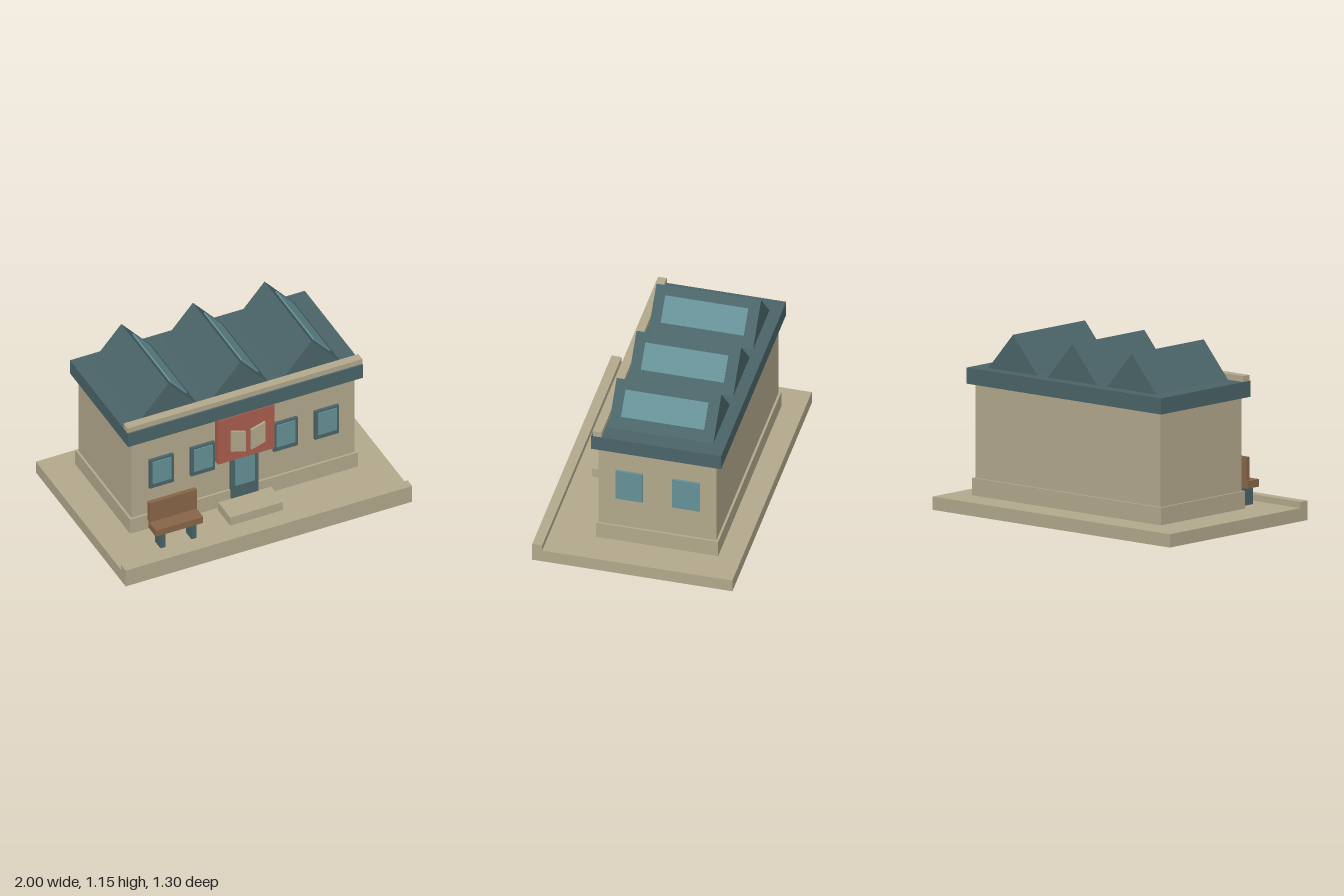
import * as THREE from 'three';

const paint = (name, color) => {
  const m = new THREE.MeshStandardMaterial({ color });
  m.name = name;
  return m;
};

export function createModel() {
  const stone = paint('sandstone', 0xb3a88c);
  const slate = paint('dark teal', 0x4a6468);
  const glass = paint('glass teal', 0x659096);
  const red = paint('sign red', 0xa85d4c);
  const wood = paint('bench brown', 0x876547);

  const model = new THREE.Group();
  model.name = 'building';

  const add = (parent, name, geometry, material) => {
    const mesh = new THREE.Mesh(geometry, material);
    mesh.name = name;
    parent.add(mesh);
    return mesh;
  };
  // Box given by its limits on each axis
  const box = (parent, name, material, [x0, x1], [y0, y1], [z0, z1]) => {
    const mesh = add(parent, name, new THREE.BoxGeometry(x1 - x0, y1 - y0, z1 - z0), material);
    mesh.position.set((x0 + x1) / 2, (y0 + y1) / 2, (z0 + z1) / 2);
    return mesh;
  };
  // Outline extruded along z from z0 to z1
  const prism = (parent, name, material, points, z0, z1) => {
    const shape = new THREE.Shape(points.map(([x, y]) => new THREE.Vector2(x, y)));
    const geometry = new THREE.ExtrudeGeometry(shape, { depth: z1 - z0, bevelEnabled: false });
    const mesh = add(parent, name, geometry, material);
    mesh.position.z = z0;
    return mesh;
  };
  const group = (name) => {
    const g = new THREE.Group();
    g.name = name;
    model.add(g);
    return g;
  };

  // Ground slab with a kerb along the front
  box(model, 'groundSlab', stone, [-1, 1], [0, 0.085], [-0.65, 0.65]);
  box(model, 'kerb', stone, [-1, 1], [0.085, 0.125], [0.585, 0.65]);

  // Building body
  box(model, 'plinth', stone, [-0.795, 0.795], [0.098, 0.21], [-0.505, 0.29]);
  box(model, 'walls', stone, [-0.78, 0.78], [0.21, 0.812], [-0.49, 0.275]);
  box(model, 'roofSlab', slate, [-0.82, 0.82], [0.812, 0.915], [-0.53, 0.313]);
  box(model, 'frontParapet', stone, [-0.82, 0.82], [0.915, 0.953], [0.245, 0.302]);

  // Roof ridges, each with a skylight on its +x slope
  const half = 0.208, rise = 0.237;
  for (const x of [-0.5, 0, 0.5]) {
    const ridge = group('roofRidge');
    ridge.position.set(x, 0.915, 0);
    prism(ridge, 'ridge', slate, [[-half, 0], [half, 0], [0, rise]], -0.45, 0.23);
    const skylight = add(ridge, 'skylight', new THREE.BoxGeometry(0.175, 0.02, 0.54), glass);
    skylight.position.set(0.1, rise * (1 - 0.1 / half), -0.11);
    skylight.rotation.z = -Math.atan2(rise, half);
  }

  // Framed front windows
  for (const x of [-0.577, -0.289, 0.289, 0.577]) {
    const win = group('frontWindow');
    box(win, 'windowFrame', slate, [x - 0.084, x + 0.084], [0.415, 0.635], [0.27, 0.296]);
    box(win, 'windowGlass', glass, [x - 0.065, x + 0.065], [0.45, 0.622], [0.296, 0.303]);
  }

  // Plain windows on the left wall
  for (const z of [0.074, -0.293]) {
    box(model, 'sideWindow', glass, [0.77, 0.795], [0.427, 0.646], [z - 0.088, z + 0.088]);
  }

  // Door and step
  const door = group('door');
  box(door, 'doorPanel', slate, [-0.095, 0.095], [0.11, 0.63], [0.27, 0.301]);
  box(door, 'doorGlass', glass, [-0.068, 0.068], [0.248, 0.62], [0.301, 0.31]);
  box(model, 'step', stone, [-0.185, 0.185], [0.085, 0.149], [0.298, 0.473]);

  // Sign board with an open pair of pages standing off it
  const sign = group('sign');
  box(sign, 'signBoard', red, [-0.197, 0.197], [0.468, 0.812], [0.272, 0.321]);
  const page = [[-0.119, 0.568], [-0.019, 0.538], [-0.019, 0.694], [-0.119, 0.726]];
  prism(sign, 'rightPage', stone, page, 0.341, 0.355);
  prism(sign, 'leftPage', stone, page.map(([x, y]) => [-x, y]), 0.341, 0.355);

  // Bench
  const bench = group('bench');
  box(bench, 'benchSeat', wood, [-0.72, -0.39], [0.2, 0.248], [0.4, 0.507]);
  box(bench, 'benchBack', wood, [-0.72, -0.39], [0.252, 0.402], [0.388, 0.417]);
  for (const x of [-0.663, -0.447]) {
    box(bench, 'benchLeg', slate, [x - 0.018, x + 0.018], [0.085, 0.2], [0.413, 0.493]);
  }

  return model;
}
